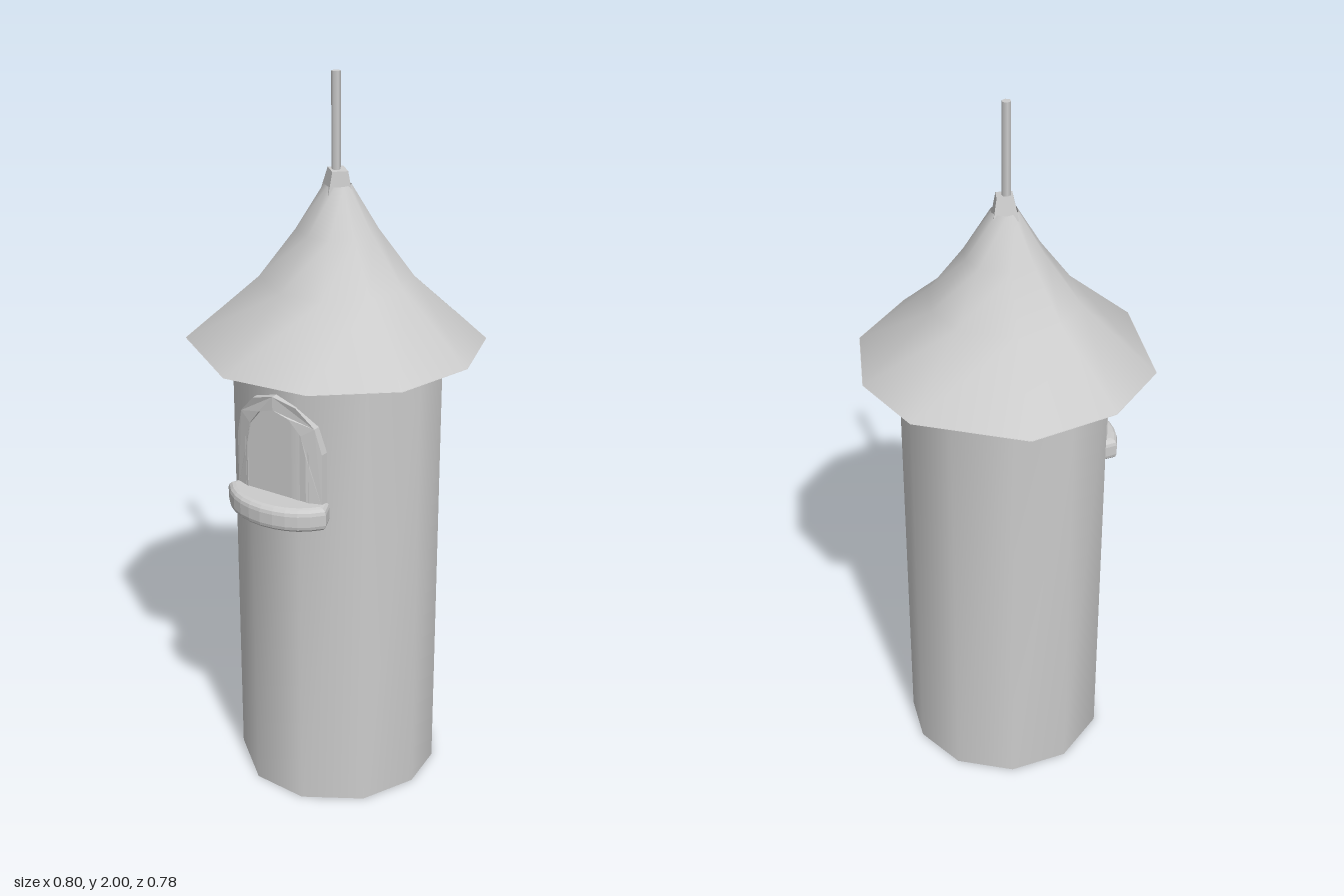
import * as THREE from 'three';

const grey = new THREE.MeshStandardMaterial({ color: 0xcccccc, side: THREE.DoubleSide });
const greyFlat = new THREE.MeshStandardMaterial({ color: 0xcccccc, flatShading: true, side: THREE.DoubleSide });

function part(name, geometry, material, parent) {
  const mesh = new THREE.Mesh(geometry, material);
  mesh.name = name;
  parent.add(mesh);
  return mesh;
}

// Skin a stack of rings; outline points run clockwise as seen from above in x/z.
function loft(rings) {
  const n = rings[0].length, index = [];
  for (let r = 0; r < rings.length - 1; r++) {
    for (let i = 0; i < n; i++) {
      const a = r * n + i, b = r * n + (i + 1) % n;
      index.push(a, a + n, b, b, a + n, b + n);
    }
  }
  const geometry = new THREE.BufferGeometry();
  geometry.setAttribute('position', new THREE.Float32BufferAttribute(rings.flat(2), 3));
  geometry.setIndex(index);
  geometry.computeVertexNormals();
  return geometry;
}

// Arched window outline: straight jambs under a faceted round head.
function arch(PathType, halfWidth, bottom, spring, top) {
  const path = new PathType();
  path.moveTo(-halfWidth, bottom);
  path.lineTo(halfWidth, bottom);
  for (let i = 0; i <= 6; i++) {
    const a = i / 6 * Math.PI;
    path.lineTo(halfWidth * Math.cos(a), spring + (top - spring) * Math.sin(a));
  }
  path.closePath();
  return path;
}

export function createModel() {
  const model = new THREE.Group();
  model.name = 'birdhouseTower';

  // Hand-shaped tower wall, open at the foot
  const wallAngles = [8, 42, 78, 111, 150, 186, 220, 254, 286, 315, 339];
  const wallRing = y => wallAngles.map(d => {
    const a = d * Math.PI / 180;
    return [0.006 + 0.282 * Math.cos(a), y, 0.008 + 0.284 * Math.sin(a)];
  });
  part('towerWall', loft([wallRing(0), wallRing(1.29)]), grey, model);

  // Flared, slightly uneven roof
  const rim = [[0.395, 0], [0.335, 0.22], [0.15, 0.37], [-0.09, 0.39], [-0.345, 0.215],
    [-0.4, 0], [-0.33, -0.235], [-0.065, -0.395], [0.15, -0.365], [0.33, -0.22]];
  const profile = [[1, 1.285], [0.51, 1.46], [0.27, 1.59], [0.09, 1.71]];
  const roofRings = profile.map(([s, y]) => rim.map(([x, z]) => [x * s, y, z * s]));
  part('roof', loft(roofRings), grey, model);

  // Flat underside of the roof
  const soffit = new THREE.ShapeGeometry(new THREE.Shape(rim.map(([x, z]) => new THREE.Vector2(x, z))));
  soffit.rotateX(Math.PI / 2);
  part('roofUnderside', soffit, greyFlat, model).position.y = 1.286;

  // Square tapered cap and hanging rod
  const cap = part('roofCap', new THREE.CylinderGeometry(0.03, 0.046, 0.06, 4), greyFlat, model);
  cap.position.set(0, 1.72, 0.002);
  cap.rotation.set(0.04, 0.08, -0.08);
  const rod = part('rod', new THREE.CylinderGeometry(0.012, 0.012, 0.3, 6), grey, model);
  rod.position.set(-0.002, 1.85, 0.005);

  // Window: frame bent to follow the wall, with a flat pane inside
  const windowGroup = new THREE.Group();
  windowGroup.name = 'window';
  windowGroup.position.x = -0.004;
  model.add(windowGroup);
  const frameShape = arch(THREE.Shape, 0.133, 0.93, 1.08, 1.222);
  frameShape.holes.push(arch(THREE.Path, 0.092, 0.935, 1.07, 1.185));
  const frame = new THREE.ExtrudeGeometry(frameShape, { depth: 0.045, bevelEnabled: false });
  const p = frame.attributes.position;
  for (let i = 0; i < p.count; i++) p.setZ(i, p.getZ(i) + 0.255 - 1.6 * p.getX(i) ** 2);
  part('windowFrame', frame, greyFlat, windowGroup);
  const pane = new THREE.ShapeGeometry(arch(THREE.Shape, 0.1, 0.93, 1.075, 1.195));
  part('windowPane', pane, greyFlat, windowGroup).position.z = 0.284;

  // Rounded sill with a bowed front edge
  const plan = new THREE.Shape();
  plan.moveTo(-0.125, 0.26);
  plan.lineTo(0.125, 0.26);
  plan.lineTo(0.135, 0.285);
  plan.quadraticCurveTo(0.09, 0.345, 0, 0.347);
  plan.quadraticCurveTo(-0.09, 0.345, -0.135, 0.285);
  plan.closePath();
  const sill = new THREE.ExtrudeGeometry(plan, {
    depth: 0.03, bevelThickness: 0.018, bevelSize: 0.018, bevelSegments: 3, curveSegments: 5
  });
  sill.rotateX(Math.PI / 2);
  part('windowSill', sill, grey, windowGroup).position.y = 0.922;

  return model;
}
